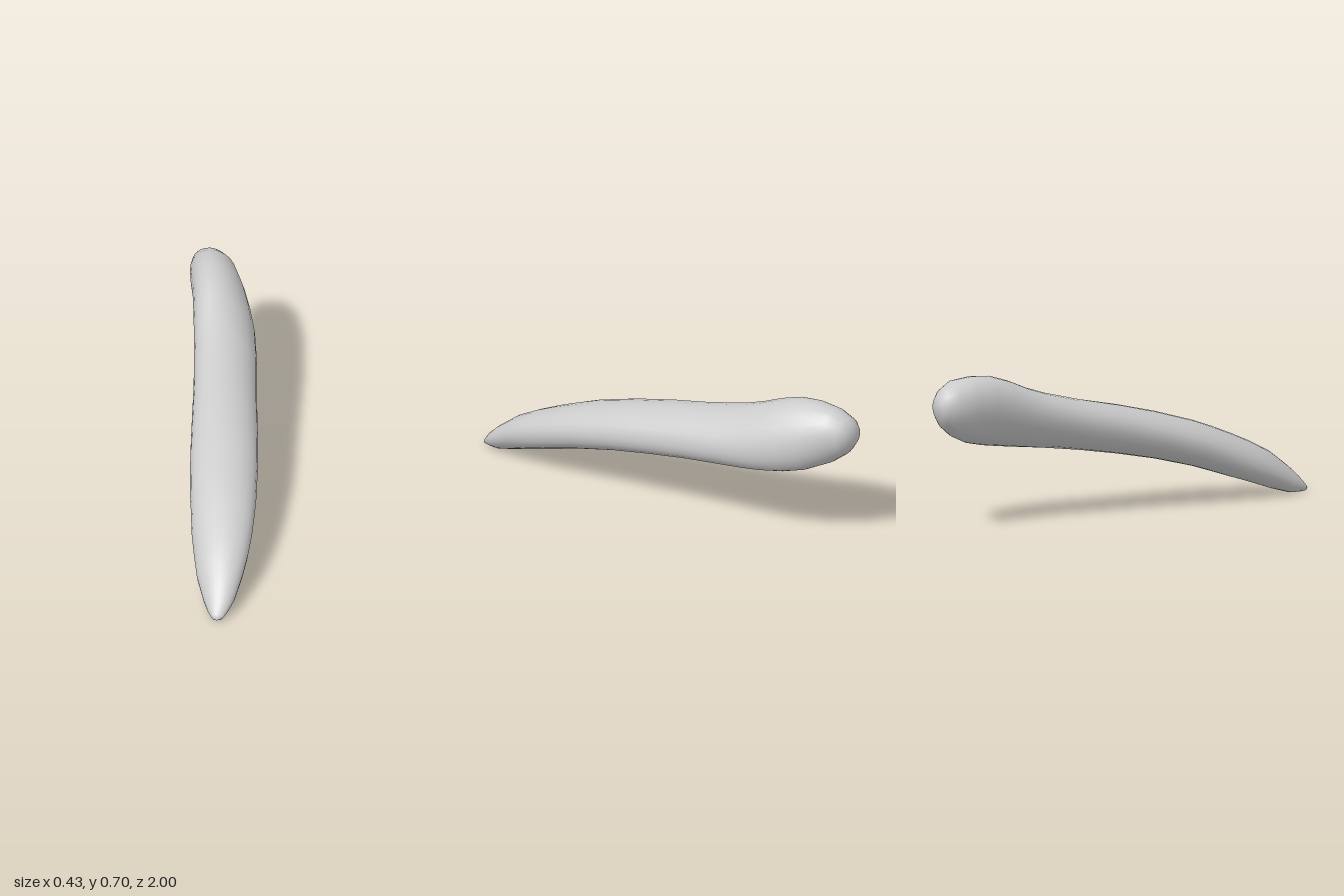
import * as THREE from 'three';

// Cross-sections from front tip to rear end: z, left x, right x, bottom y, top y, roll
const SECTIONS = [
  [0.985, 0.065, 0.118, 0.002, 0.035, 0.1],
  [0.95, 0.043, 0.143, 0.0, 0.078, 0.2],
  [0.9, 0.02, 0.165, 0.001, 0.125, 0.2],
  [0.8, -0.02, 0.19, 0.03, 0.203, 0.15],
  [0.7, -0.043, 0.205, 0.065, 0.256, 0.1],
  [0.6, -0.063, 0.213, 0.098, 0.301, 0.05],
  [0.5, -0.076, 0.215, 0.132, 0.342, 0],
  [0.4, -0.09, 0.214, 0.165, 0.379, -0.05],
  [0.2, -0.108, 0.203, 0.217, 0.439, -0.1],
  [0, -0.12, 0.182, 0.257, 0.489, -0.17],
  [-0.2, -0.131, 0.159, 0.291, 0.532, -0.23],
  [-0.4, -0.149, 0.14, 0.317, 0.583, -0.3],
  [-0.5, -0.159, 0.127, 0.329, 0.617, -0.34],
  [-0.6, -0.171, 0.112, 0.342, 0.66, -0.36],
  [-0.7, -0.184, 0.085, 0.358, 0.692, -0.34],
  [-0.8, -0.203, 0.05, 0.382, 0.7, -0.24],
  [-0.9, -0.216, 0.0, 0.428, 0.689, -0.05],
  [-0.96, -0.212, -0.045, 0.476, 0.655, 0],
  [-0.985, -0.192, -0.08, 0.516, 0.625, 0],
];
const FRONT_TIP = [0.09, 0.012, 1];
const REAR_TIP = [-0.14, 0.575, -1];
const SIDES = 24;

// Loft the rolled ovals into a closed skin with smooth normals
function loftBody() {
  const positions = [...FRONT_TIP];
  const index = [];
  for (const [z, x0, x1, y0, y1, roll] of SECTIONS) {
    // the underside is slightly flatter along the middle
    const flat = Math.abs(z - 0.2) < 0.55 ? 0.88 : 1;
    for (let i = 0; i < SIDES; i++) {
      const t = (i / SIDES) * Math.PI * 2;
      const s = Math.sin(t + roll);
      const rise = s < 0 ? -Math.pow(-s, flat) : s;
      positions.push(
        (x0 + x1) / 2 + ((x1 - x0) / 2) * Math.cos(t),
        (y0 + y1) / 2 + ((y1 - y0) / 2) * rise,
        z
      );
    }
  }
  const rear = positions.length / 3;
  positions.push(...REAR_TIP);

  const at = (ring, i) => 1 + ring * SIDES + (i % SIDES);
  const last = SECTIONS.length - 1;
  for (let i = 0; i < SIDES; i++) {
    index.push(0, at(0, i), at(0, i + 1));
    for (let r = 0; r < last; r++) {
      const a = at(r, i), b = at(r, i + 1), c = at(r + 1, i), d = at(r + 1, i + 1);
      index.push(a, c, b, b, c, d);
    }
    index.push(rear, at(last, i + 1), at(last, i));
  }

  const geometry = new THREE.BufferGeometry();
  geometry.setAttribute('position', new THREE.Float32BufferAttribute(positions, 3));
  geometry.setIndex(index);
  geometry.computeVertexNormals();
  return geometry;
}

export function createModel() {
  const group = new THREE.Group();
  group.name = 'curvedPod';
  const material = new THREE.MeshStandardMaterial({ color: 0xcccccc });
  const body = new THREE.Mesh(loftBody(), material);
  body.name = 'body';
  group.add(body);
  return group;
}
